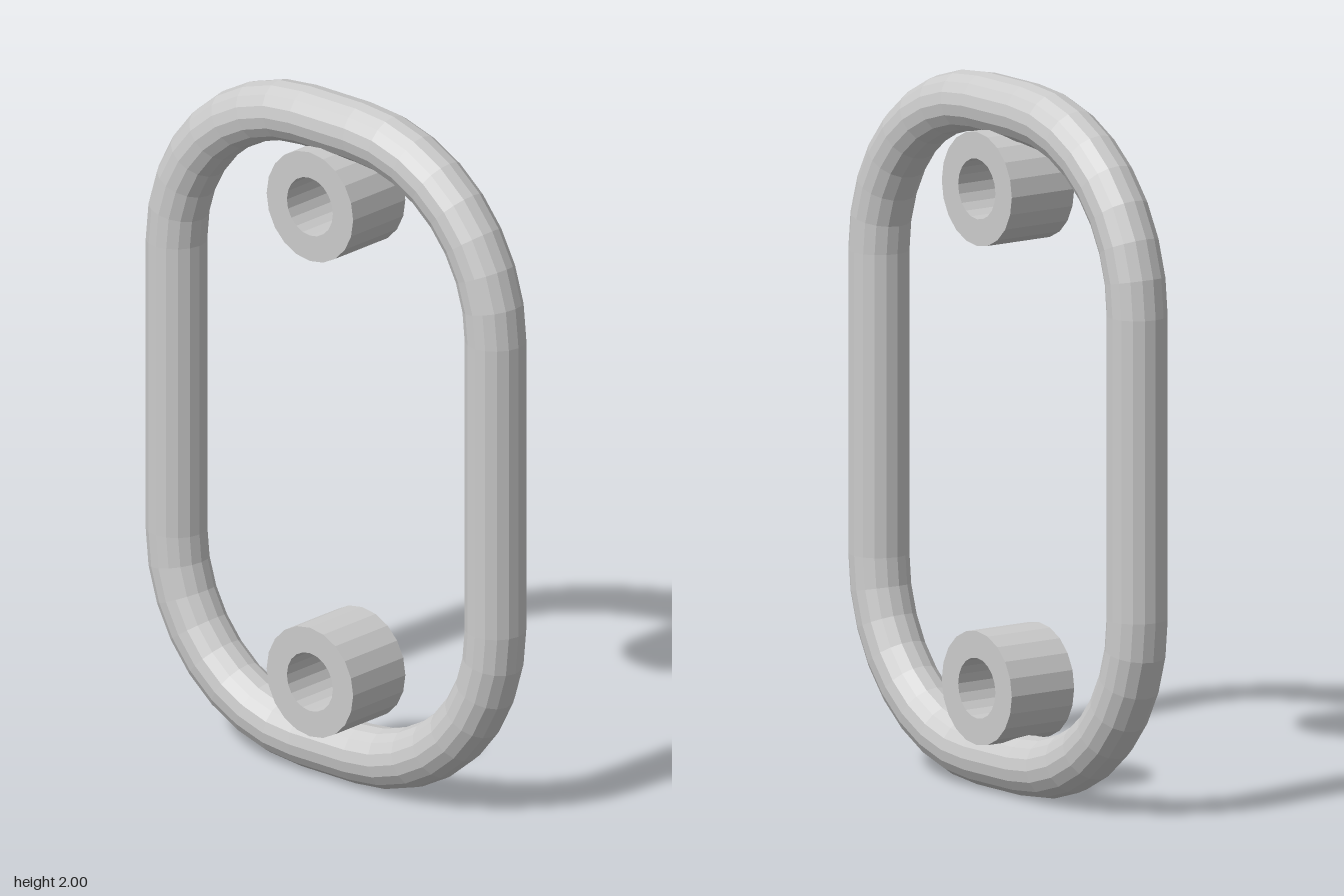
import * as THREE from 'three';

const material = new THREE.MeshStandardMaterial({ color: 0xcccccc, flatShading: true });

// Closed round bar swept around a rounded rectangle in the YZ plane
function roundedLoop(halfZ, halfY, cornerRadius, barRadius, cornerSteps, sides) {
  const positions = [], indices = [];
  const corners = [[1, 1], [-1, 1], [-1, -1], [1, -1]];
  corners.forEach(([sz, sy], c) => {
    for (let i = 0; i <= cornerSteps; i++) {
      const a = (c + i / cornerSteps) * Math.PI / 2;
      for (let j = 0; j < sides; j++) {
        const b = (j / sides) * Math.PI * 2;
        const reach = cornerRadius + barRadius * Math.cos(b);
        positions.push(
          barRadius * Math.sin(b),
          sy * (halfY - cornerRadius) + reach * Math.sin(a),
          sz * (halfZ - cornerRadius) + reach * Math.cos(a)
        );
      }
    }
  });
  const rings = corners.length * (cornerSteps + 1);
  for (let i = 0; i < rings; i++) {
    const next = (i + 1) % rings;
    for (let j = 0; j < sides; j++) {
      const k = (j + 1) % sides;
      const p = i * sides + j, q = i * sides + k;
      const r = next * sides + j, s = next * sides + k;
      indices.push(p, q, r, q, s, r);
    }
  }
  const geometry = new THREE.BufferGeometry();
  geometry.setAttribute('position', new THREE.Float32BufferAttribute(positions, 3));
  geometry.setIndex(indices);
  geometry.computeVertexNormals();
  return geometry;
}

// Short hollow cylinder with its bore along x
function bushing(outerRadius, boreRadius, length) {
  const shape = new THREE.Shape().absarc(0, 0, outerRadius, 0, Math.PI * 2, false);
  shape.holes.push(new THREE.Path().absarc(0, 0, boreRadius, 0, Math.PI * 2, true));
  const geometry = new THREE.ExtrudeGeometry(shape, {
    depth: length, bevelEnabled: false, curveSegments: 10,
  });
  return geometry.translate(0, 0, -length / 2).rotateY(Math.PI / 2);
}

export function createModel() {
  const group = new THREE.Group();
  group.name = 'loopLink';

  // Rounded bar loop
  const loop = new THREE.Mesh(roundedLoop(0.59, 0.915, 0.49, 0.085, 8, 16), material);
  loop.name = 'barLoop';
  loop.position.y = 1;
  group.add(loop);

  // Bushings resting against the inside of both ends
  const bushingGeometry = bushing(0.16, 0.085, 0.215);
  for (const [name, y] of [['upperBushing', 1.7], ['lowerBushing', 0.3]]) {
    const mesh = new THREE.Mesh(bushingGeometry, material);
    mesh.name = name;
    mesh.position.y = y;
    group.add(mesh);
  }
  return group;
}
